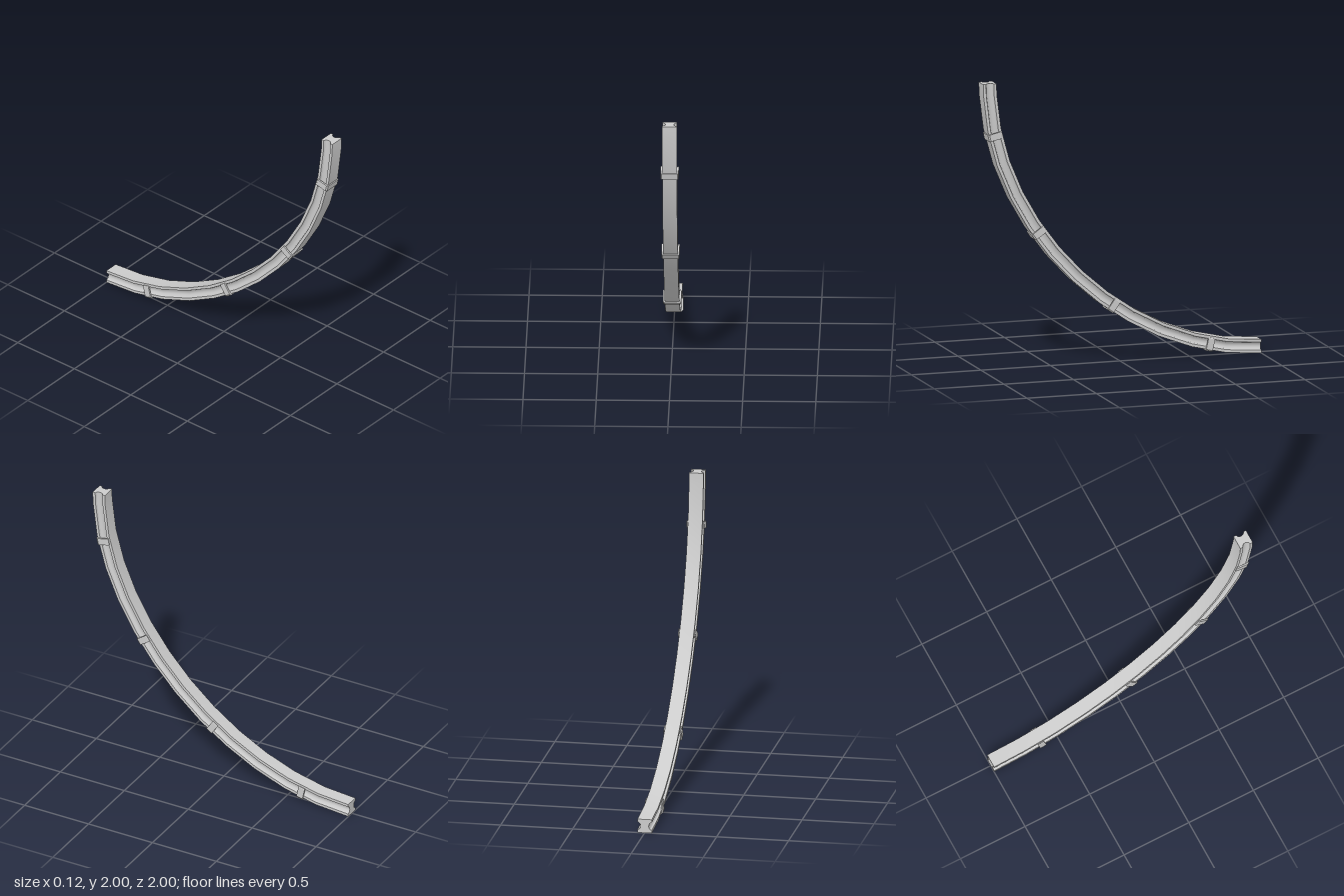
import * as THREE from 'three';
import { toCreasedNormals } from 'three/addons/utils/BufferGeometryUtils.js';

const HALF = 0.048; // half the radial height of the rail
const material = new THREE.MeshStandardMaterial({ color: 0xcccccc });

// Centre line: a quarter bend from the upright end down to the level end
const R = 2 - HALF, K = 0.51 * R;
const path = new THREE.CubicBezierCurve3(
  new THREE.Vector3(0, 2, -1 + R),
  new THREE.Vector3(0, 2 - K, -1 + R),
  new THREE.Vector3(0, HALF, -1 + K),
  new THREE.Vector3(0, HALF, -1)
);

// Frame on the path: local x sideways, y outward, z along the path
function frameAt(u) {
  const p = path.getPointAt(u), t = path.getTangentAt(u);
  const out = new THREE.Vector3(0, t.z, -t.y);
  return new THREE.Matrix4().makeBasis(new THREE.Vector3(1, 0, 0), out, t).setPosition(p);
}

// Closed shape from the points of its +x half, mirrored to -x
function mirroredShape(half) {
  const other = half.map(([x, y]) => [-x, y]).reverse();
  return new THREE.Shape([...half, ...other].map(([x, y]) => new THREE.Vector2(x, y)));
}

// Rail: I-shaped section with rounded side grooves, swept in straight pieces
function makeRail() {
  const shape = mirroredShape([
    [0.05, -HALF], [0.05, -0.028], [0.038, -0.023], [0.03, -0.012], [0.028, 0],
    [0.03, 0.012], [0.038, 0.023], [0.05, 0.028], [0.05, HALF]
  ]);
  const stations = [0];
  for (let i = 12; i >= 0; i--) stations.push(1 - i / 12.32);
  const frames = stations.map(frameAt);
  const steps = stations.length - 1;
  const geo = new THREE.ExtrudeGeometry(shape, { depth: steps, steps, bevelEnabled: false });
  const pos = geo.attributes.position, v = new THREE.Vector3();
  for (let i = 0; i < pos.count; i++) {
    v.fromBufferAttribute(pos, i);
    const frame = frames[Math.round(v.z)];
    v.setZ(0).applyMatrix4(frame);
    pos.setXYZ(i, v.x, v.y, v.z);
  }
  const mesh = new THREE.Mesh(toCreasedNormals(geo, 0.5), material);
  mesh.name = 'curvedRail';
  return mesh;
}

// Clip: a U-shaped strap over the outer face with arms down both sides
function makeClip(u, name) {
  const width = 0.048;
  const shape = mirroredShape([
    [0.05, 0.046], [0.05, -0.03], [0.053, -0.04], [0.058, -0.04],
    [0.062, -0.034], [0.062, 0.044], [0.054, 0.054]
  ]);
  const geo = new THREE.ExtrudeGeometry(shape, { depth: width, bevelEnabled: false });
  geo.translate(0, 0, -width / 2);
  geo.applyMatrix4(frameAt(u));
  const mesh = new THREE.Mesh(toCreasedNormals(geo, 0.5), material);
  mesh.name = name;
  return mesh;
}

export function createModel() {
  const group = new THREE.Group();
  group.name = 'bentRail';
  group.add(makeRail());
  for (let i = 0; i < 4; i++) group.add(makeClip(0.122 + 0.252 * i, `clip${i + 1}`));
  return group;
}
